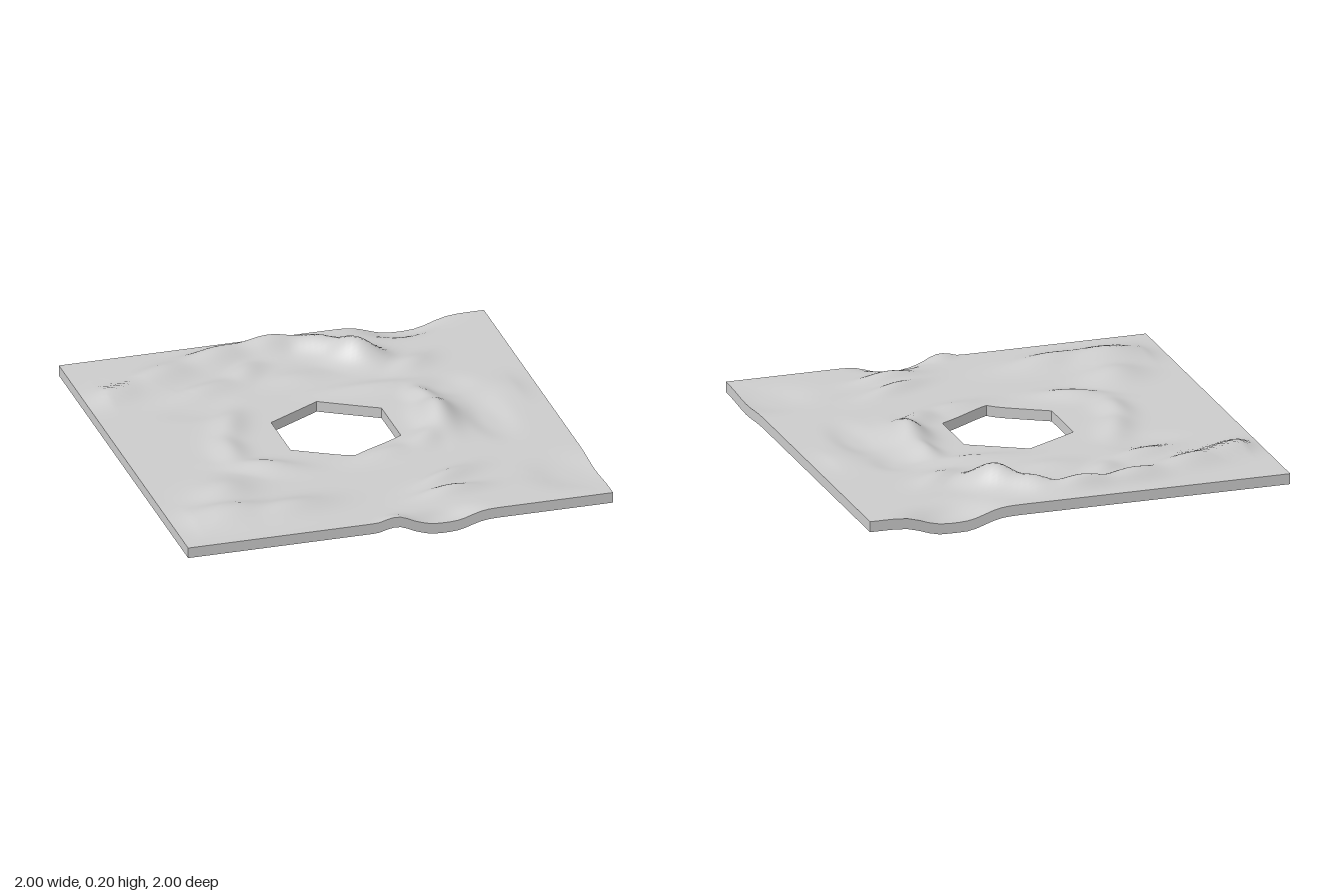
import * as THREE from 'three';
import { toCreasedNormals } from 'three/addons/utils/BufferGeometryUtils.js';

const BASE = 0.1, THICK = 0.05;
const SEG = 192, RINGS = 48;

// Hills: x, z, radius along, radius across, turn, height
const hills = [
  // long ridge curving round the back
  [-0.85, -0.62, 0.20, 0.08, 0.40, 0.045], [-0.60, -0.74, 0.22, 0.10, 0.40, 0.050],
  [-0.30, -0.85, 0.20, 0.09, 0.25, 0.058], [-0.05, -0.89, 0.18, 0.08, 0.00, 0.070],
  [0.17, -0.82, 0.15, 0.08, -0.60, 0.070], [0.30, -0.70, 0.14, 0.09, -0.80, 0.100],
  [0.52, -0.55, 0.12, 0.07, 0.60, 0.030],
  // low folds inside the ridge
  [-0.45, -0.54, 0.18, 0.07, 0.30, 0.028], [-0.22, -0.68, 0.12, 0.07, 0.90, 0.025],
  [0.30, -0.36, 0.22, 0.06, -0.05, 0.020], [-0.02, -0.55, 0.14, 0.08, 0.00, 0.015],
  // rim round the opening
  [0.47, 0.02, 0.17, 0.085, 1.45, 0.080], [0.47, -0.18, 0.13, 0.06, 1.70, 0.040],
  [0.38, 0.20, 0.16, 0.07, 0.75, 0.035], [0.15, 0.32, 0.16, 0.07, 0.20, 0.022],
  [-0.46, -0.15, 0.18, 0.07, 1.15, 0.030], [-0.53, 0.08, 0.16, 0.07, 1.50, 0.030],
  [-0.42, 0.30, 0.16, 0.07, -0.40, 0.032],
  // front right and front left uplands
  [-0.72, 0.74, 0.20, 0.12, 0.00, 0.055], [-0.46, 0.76, 0.20, 0.10, 0.15, 0.045],
  [-0.68, 0.50, 0.15, 0.12, 0.80, 0.040], [0.32, 0.64, 0.17, 0.06, 0.45, 0.034],
  [0.30, 0.79, 0.15, 0.055, 0.10, 0.040], [0.85, -0.18, 0.12, 0.14, 0.00, 0.016],
];

// Hollows: x, z, radius x, radius z, depth
const hollows = [
  [0.60, -1.00, 0.17, 0.13, 0.052], [0.21, 1.00, 0.14, 0.075, 0.040],
  [0.88, 0.72, 0.16, 0.16, 0.020], [0.70, 0.08, 0.09, 0.20, 0.018],
  [-0.50, -0.36, 0.18, 0.09, 0.010], [0.62, -0.28, 0.10, 0.10, 0.015],
  [-0.02, 1.00, 0.06, 0.06, -0.018],
];

function relief(x, z) {
  let up = 0, down = 0;
  for (const [cx, cz, a, b, turn, h] of hills) {
    const dx = x - cx, dz = z - cz, c = Math.cos(turn), s = Math.sin(turn);
    const u = (dx * c - dz * s) / a, v = (dx * s + dz * c) / b;
    up += (h * Math.exp(-u * u - v * v)) ** 3;
  }
  for (const [cx, cz, a, b, d] of hollows) {
    const u = (x - cx) / a, v = (z - cz) / b;
    down += d * Math.exp(-((u * u + v * v) ** 1.5));
  }
  // hills settle to level ground at the outer edges
  const edge = Math.min(1, (1 - Math.max(Math.abs(x), Math.abs(z))) / 0.1);
  return Math.cbrt(up) * edge - down;
}

// Point on the sheet: t = 0 at the hexagonal opening, 1 at the square edge
function sheetPoint(angle, t) {
  const c = Math.cos(angle), s = Math.sin(angle), sixth = Math.PI / 3;
  const inner = 0.3 * Math.cos(sixth / 2) / Math.cos((((angle % sixth) + sixth) % sixth) - sixth / 2
    + (((angle % sixth) + sixth) % sixth < sixth / 2 ? sixth / 2 : -sixth / 2));
  const outer = 1 / Math.max(Math.abs(c), Math.abs(s));
  const r = inner + (outer - inner) * t;
  return [r * c, r * s];
}

function slabGeometry() {
  const pos = [], index = [], loop = 2 * (RINGS + 1);
  for (let i = 0; i < SEG; i++) {
    const angle = (i / SEG) * Math.PI * 2;
    // cross-section: out along the top, back along the underside
    for (let j = 0; j < loop; j++) {
      const top = j <= RINGS;
      const [x, z] = sheetPoint(angle, (top ? j : loop - 1 - j) / RINGS);
      const y = BASE + relief(x, z) - (top ? 0 : THICK);
      pos.push(x, Math.max(0, y), z);
    }
  }
  for (let i = 0; i < SEG; i++) {
    for (let j = 0; j < loop; j++) {
      const n = (i + 1) % SEG, k = (j + 1) % loop;
      const a = i * loop + j, b = i * loop + k, c = n * loop + k, d = n * loop + j;
      index.push(a, c, b, a, d, c);
    }
  }
  const geo = new THREE.BufferGeometry();
  geo.setAttribute('position', new THREE.Float32BufferAttribute(pos, 3));
  geo.setIndex(index);
  return toCreasedNormals(geo, 0.9);
}

export function createModel() {
  const group = new THREE.Group();
  group.name = 'terrainTile';
  const slab = new THREE.Mesh(slabGeometry(), new THREE.MeshStandardMaterial({ color: 0xcccccc }));
  slab.name = 'terrainSlab';
  group.add(slab);
  return group;
}
